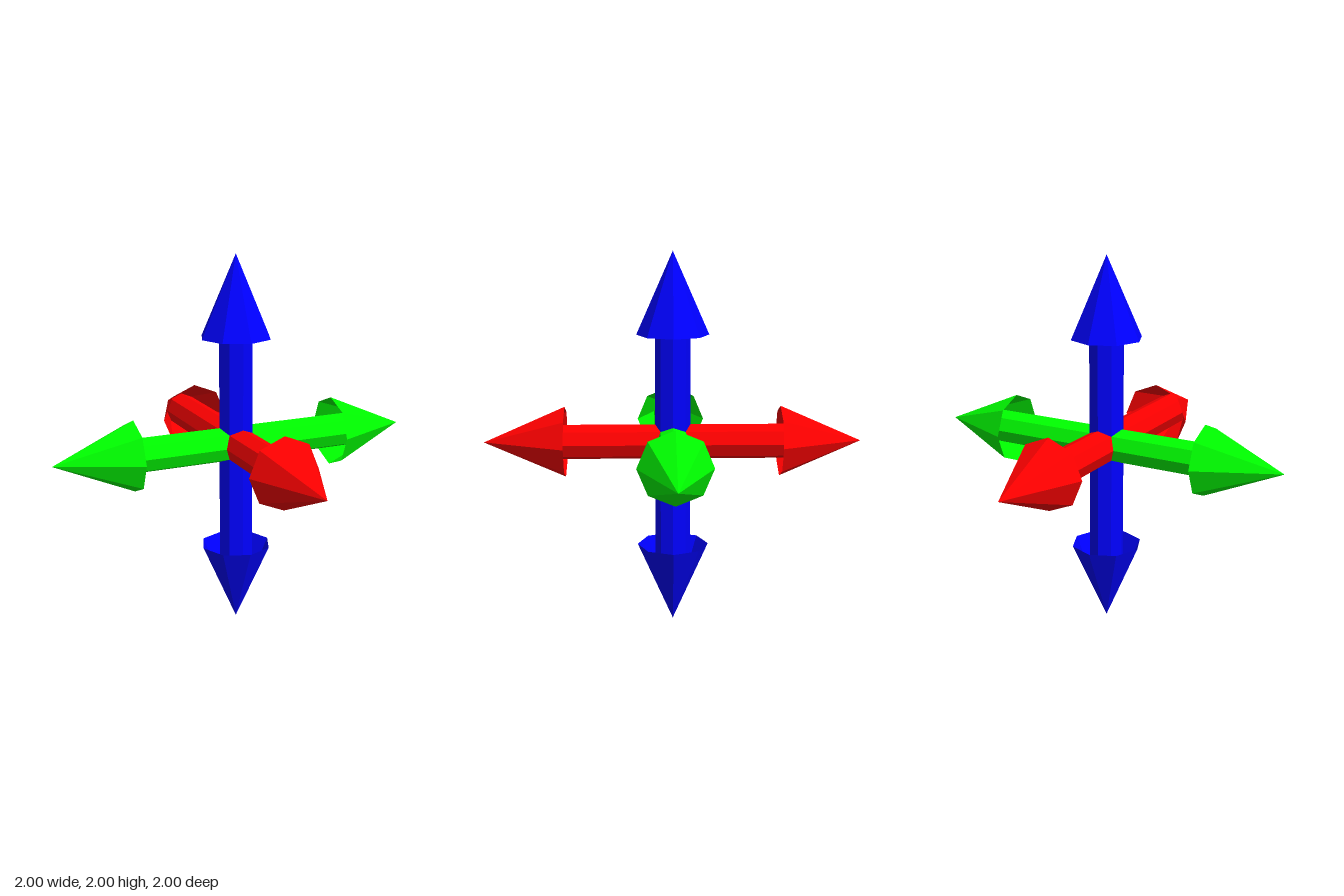
import * as THREE from 'three';

const SIDES = 8;
const TIP = 1;           // centre to arrow tip
const HEAD_BASE = 0.57;  // centre to the open rim of a head
const HEAD_RADIUS = 0.19;
const SHAFT_RADIUS = 0.093;
const SHAFT_END = 0.78;  // shaft runs on inside the hollow head

// One double-headed arrow lying along local y
function doubleArrow(name, color) {
  const material = new THREE.MeshStandardMaterial({ color, flatShading: true, side: THREE.DoubleSide });
  const arrow = new THREE.Group();
  arrow.name = name;

  const shaft = new THREE.Mesh(
    new THREE.CylinderGeometry(SHAFT_RADIUS, SHAFT_RADIUS, SHAFT_END * 2, SIDES, 1, true), material);
  shaft.name = 'shaft';
  arrow.add(shaft);

  // Hollow cone heads, open at the back
  const headGeometry = new THREE.ConeGeometry(HEAD_RADIUS, TIP - HEAD_BASE, SIDES, 1, true);
  headGeometry.translate(0, (TIP + HEAD_BASE) / 2, 0);
  for (const end of [0, 1]) {
    const head = new THREE.Mesh(headGeometry, material);
    head.name = end ? 'negativeHead' : 'positiveHead';
    head.rotation.x = end * Math.PI;
    arrow.add(head);
  }
  return arrow;
}

export function createModel() {
  const model = new THREE.Group();
  model.name = 'axisArrows';

  const vertical = doubleArrow('verticalArrow', 0x0000ff);
  const sideways = doubleArrow('sidewaysArrow', 0x00ff00);
  sideways.rotation.z = -Math.PI / 2;
  const depth = doubleArrow('depthArrow', 0xff0000);
  depth.rotation.x = Math.PI / 2;

  for (const arrow of [vertical, sideways, depth]) {
    arrow.position.y = 1;
    model.add(arrow);
  }
  return model;
}
